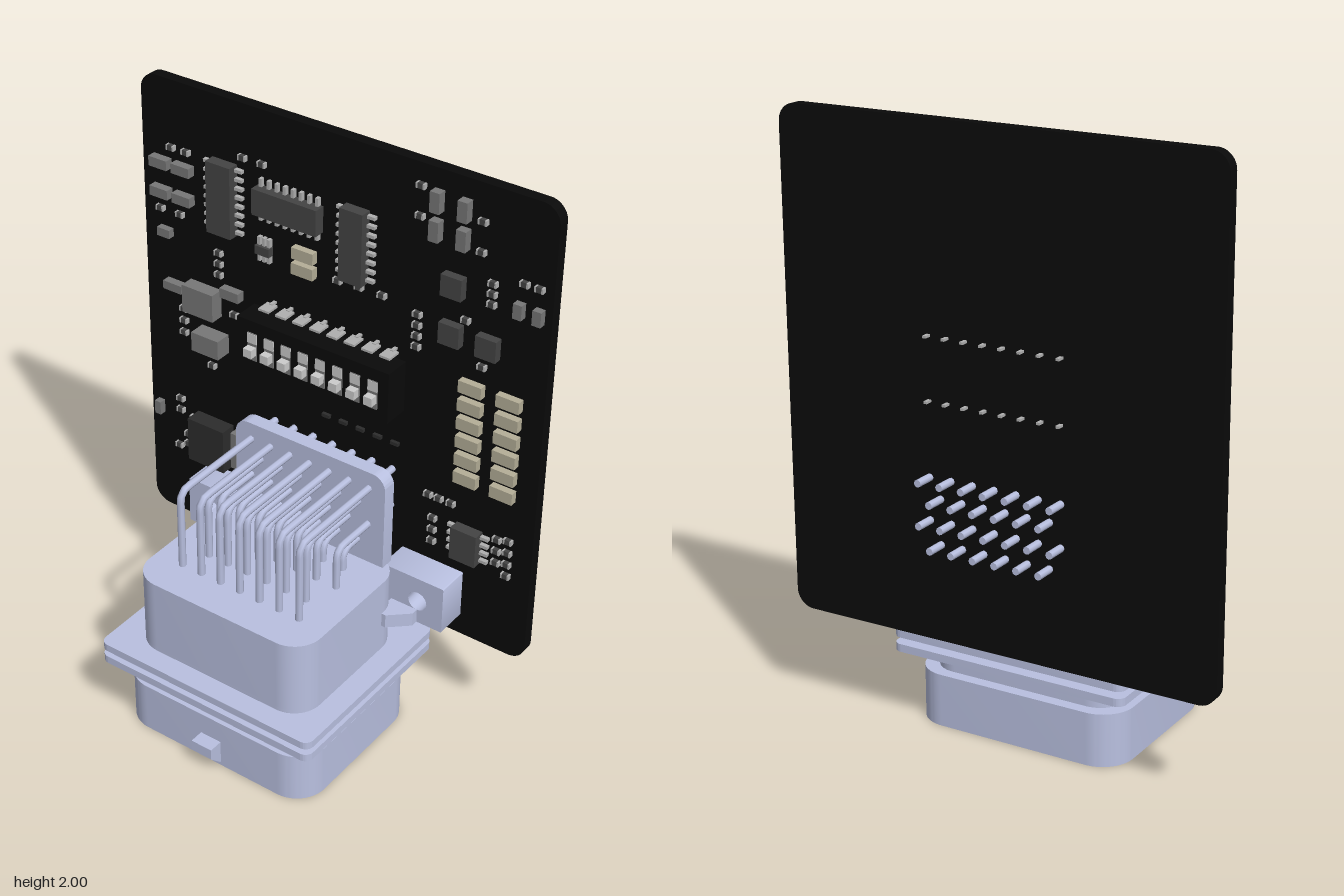
import * as THREE from 'three';
import { mergeGeometries, toCreasedNormals } from 'three/addons/utils/BufferGeometryUtils.js';

const mat = (color) => new THREE.MeshStandardMaterial({ color });
const M = {
  plastic: mat(0xb9c0e0), board: mat(0x0a0a0a), chip: mat(0x444444), dark: mat(0x2c2c2c),
  part: mat(0x777777), tan: mat(0xb5af98), metal: mat(0xb0b0b0), white: mat(0xdcdcdc),
};
const BOARD_FRONT = -0.305;

function mesh(group, name, geo, material) {
  const m = new THREE.Mesh(geo, material);
  m.name = name;
  group.add(m);
  return m;
}

function roundRect(w, h, r, C = THREE.Shape) {
  const s = new C(), x = w / 2, y = h / 2, q = Math.PI / 2;
  s.absarc(x - r, y - r, r, 0, q);
  s.absarc(-x + r, y - r, r, q, 2 * q);
  s.absarc(-x + r, -y + r, r, 2 * q, 3 * q);
  s.absarc(x - r, -y + r, r, 3 * q, 4 * q);
  s.closePath();
  return s;
}

function extrude(shape, depth) {
  const g = new THREE.ExtrudeGeometry(shape, { depth, bevelEnabled: false, curveSegments: 10 });
  return toCreasedNormals(g, 0.5);
}

// Horizontal rounded slab from y0 to y1, optionally hollowed by a rounded opening
function slab(w, d, r, y0, y1, zc, hole) {
  const s = roundRect(w, d, r);
  if (hole) s.holes.push(roundRect(hole[0], hole[1], hole[2], THREE.Path));
  return extrude(s, y1 - y0).rotateX(-Math.PI / 2).translate(0, y0, zc);
}

function box(x, y, z, w, h, d) {
  return new THREE.BoxGeometry(w, h, d).translate(x, y, z);
}

// Box standing on the board front
function chipBox(x, y, w, h, d) {
  return box(x, y, BOARD_FRONT + d / 2, w, h, d);
}

// Right-angle pin from the connector through the board
function pinGeometry(x, y, z) {
  const r = 0.0125, b = 0.04, back = -0.415, low = 0.25;
  const v = (py, pz) => new THREE.Vector3(x, py, pz);
  const path = new THREE.CurvePath();
  path.add(new THREE.LineCurve3(v(low, z), v(y - b, z)));
  path.add(new THREE.QuadraticBezierCurve3(v(y - b, z), v(y, z), v(y, z - b)));
  path.add(new THREE.LineCurve3(v(y, z - b), v(y, back)));
  return mergeGeometries([
    new THREE.TubeGeometry(path, 48, r, 8),
    new THREE.CircleGeometry(r, 8).rotateY(Math.PI).translate(x, y, back),
  ]);
}

function buildConnector() {
  const g = new THREE.Group();
  g.name = 'connector';
  const cavity = [0.6, 0.47, 0.08];
  mesh(g, 'collar', slab(0.755, 0.62, 0.11, 0, 0.18, 0.055, [0.675, 0.54, 0.09]), M.plastic);
  mesh(g, 'shellWall', slab(0.68, 0.55, 0.1, 0.17, 0.34, 0.06, cavity), M.plastic);
  mesh(g, 'shellTop', slab(0.68, 0.55, 0.1, 0.34, 0.6, 0.06), M.plastic);
  for (const y of [0.25, 0.3])
    mesh(g, 'sealFlange', slab(0.84, 0.71, 0.03, y, y + 0.027, 0.055, cavity), M.plastic);
  mesh(g, 'keyPost', new THREE.CylinderGeometry(0.025, 0.025, 0.31, 8).translate(0, 0.195, 0.06), M.plastic);

  // Latch wedge on the front of the collar
  const wedge = new THREE.Shape([[0.35, 0.1], [0.35, 0.015], [0.368, 0.015], [0.415, 0.06], [0.415, 0.1]]
    .map((p) => new THREE.Vector2(-p[0], p[1])));
  mesh(g, 'latch', extrude(wedge, 0.08).rotateY(Math.PI / 2).translate(-0.04, 0, 0), M.plastic);

  // Mounting ears with screw holes and corner gussets
  for (const s of [-1, 1]) {
    const ear = roundRect(0.235, 0.175, 0.004);
    ear.holes.push(new THREE.Path().absarc(s * 0.022, -0.003, 0.035, 0, Math.PI * 2));
    mesh(g, 'mountingEar', extrude(ear, 0.115).translate(s * 0.398, 0.5125, -0.305), M.plastic);
    const gusset = new THREE.Shape([[0.32, 0.105], [0.355, 0.105], [0.42, 0.165], [0.42, 0.2], [0.32, 0.2]]
      .map((p) => new THREE.Vector2(s * p[0], p[1])));
    mesh(g, 'gusset', extrude(gusset, 0.05).rotateX(-Math.PI / 2).translate(0, 0.425, 0), M.plastic);
  }

  // Upright pin guide with rounded top corners
  mesh(g, 'pinGuide', extrude(roundRect(0.59, 0.5, 0.05), 0.05).translate(0, 0.7, -0.22), M.plastic);

  // Staggered rows: count, height, depth
  for (const [n, y, z] of [[7, 0.89, 0.2], [6, 0.825, 0.11], [7, 0.75, 0], [6, 0.675, -0.09]])
    for (let i = 0; i < n; i++)
      mesh(g, 'pin', pinGeometry((i - (n - 1) / 2) * 0.0775, y, z), M.plastic);
  return g;
}

// Chip body with a row of leads on two opposite sides
function buildChip(x, y, w, h, d, n, leadsOnSides, material = M.chip) {
  const g = new THREE.Group();
  g.name = 'chip';
  mesh(g, 'chipBody', chipBox(0, 0, w, h, d), material);
  const leads = [], span = leadsOnSides ? h : w, out = (leadsOnSides ? w : h) / 2 + 0.013;
  for (const s of [-1, 1])
    for (let i = 0; i < n; i++) {
      const t = ((i + 0.5) / n - 0.5) * span;
      leads.push(leadsOnSides ? chipBox(s * out, t, 0.03, 0.011, 0.015) : chipBox(t, s * out, 0.011, 0.03, 0.015));
    }
  mesh(g, 'chipLeads', mergeGeometries(leads), M.metal);
  g.position.set(x, y, 0);
  return g;
}

function buildSwitchBank() {
  const g = new THREE.Group();
  g.name = 'switchBank';
  mesh(g, 'switchBody', box(-0.005, 1.24, -0.229, 0.58, 0.18, 0.092), M.board);
  for (let i = 0; i < 8; i++) {
    const x = -0.234 + i * 0.0661;
    mesh(g, 'switchSlot', box(x, 1.237, -0.182, 0.036, 0.1, 0.005), M.part);
    mesh(g, 'switchSlider', box(x, 1.225, -0.168, 0.032, 0.03, 0.03), M.white);
    mesh(g, 'switchMark', box(x, 1.268, -0.181, 0.036, 0.035, 0.006), M.white);
    for (const [y, s] of [[1.34, 1], [1.14, -1]]) {
      mesh(g, 'switchLead', box(x, y, -0.265, 0.04, 0.008, 0.05), M.metal);
      mesh(g, 'switchLeadTip', box(x, y + s * 0.003, -0.325, 0.012, 0.008, 0.09), M.metal);
    }
  }
  return g;
}

export function createModel() {
  const model = new THREE.Group();
  model.name = 'controlBoard';
  mesh(model, 'circuitBoard', extrude(roundRect(1.52, 1.65, 0.06), 0.04).translate(0, 1.175, -0.345), M.board);
  model.add(buildConnector(), buildSwitchBank());

  // Integrated circuits
  model.add(
    buildChip(-0.43, 1.66, 0.095, 0.25, 0.04, 8, true),
    buildChip(0.075, 1.66, 0.085, 0.25, 0.04, 8, true),
    buildChip(-0.175, 1.7, 0.245, 0.09, 0.04, 8, false),
    buildChip(-0.27, 1.525, 0.055, 0.03, 0.025, 3, false),
    buildChip(0.53, 0.73, 0.095, 0.12, 0.04, 4, true),
    buildChip(-0.485, 0.715, 0.15, 0.165, 0.06, 3, true, M.dark),
  );

  // Larger parts: x, y, width, height, thickness
  const blocks = [
    [-0.515, 1.26, 0.125, 0.1, 0.05], [-0.48, 1.115, 0.11, 0.07, 0.06], [-0.4, 1.32, 0.075, 0.035, 0.03],
    [-0.635, 1.27, 0.075, 0.03, 0.03], [-0.67, 1.46, 0.05, 0.03, 0.025], [-0.39, 0.715, 0.022, 0.14, 0.03],
    [-0.72, 0.76, 0.025, 0.05, 0.025], [0.655, 1.635, 0.03, 0.05, 0.025], [0.72, 1.635, 0.03, 0.05, 0.025],
  ];
  for (const x of [-0.68, -0.59]) for (const y of [1.71, 1.605]) blocks.push([x, y, 0.072, 0.034, 0.03]);
  for (const x of [0.36, 0.455]) for (const y of [1.9, 1.805]) blocks.push([x, y, 0.034, 0.068, 0.03]);
  for (const b of blocks) mesh(model, 'capacitor', chipBox(...b), M.part);
  for (const [x, y] of [[0.43, 1.64], [0.43, 1.475], [0.56, 1.475]])
    mesh(model, 'driverChip', chipBox(x, y, 0.073, 0.073, 0.03), M.chip);

  // Pale pads
  for (const x of [0.512, 0.645])
    for (let i = 0; i < 6; i++) mesh(model, 'fuse', chipBox(x, 1.31 - i * 0.067, 0.082, 0.042, 0.025), M.tan);
  for (const y of [1.56, 1.505]) mesh(model, 'fuse', chipBox(-0.115, y, 0.082, 0.04, 0.025), M.tan);

  // Small resistors: x, first y, count, step down
  const runs = [
    [-0.64, 1.77, 1], [-0.58, 1.77, 1], [-0.69, 1.54, 1], [-0.61, 1.54, 1], [-0.355, 1.82, 1], [-0.28, 1.82, 1],
    [-0.455, 1.45, 3, 0.04], [0.01, 1.51, 1], [0.09, 1.515, 1], [0.175, 1.515, 1], [0.3, 1.93, 2, 0.1],
    [0.515, 1.88, 2, 0.1], [0.56, 1.69, 3, 0.035], [0.305, 1.495, 4, 0.038], [0.475, 1.535, 1], [0.54, 1.395, 1],
    [0.665, 1.725, 1], [0.715, 1.725, 1], [-0.605, 1.19, 3, 0.045], [-0.49, 1.01, 1], [-0.395, 1.24, 1],
    [-0.63, 0.825, 2, 0.045], [-0.6, 0.69, 2, 0.04], [-0.64, 0.63, 1], [0.395, 0.77, 3, 0.045],
    [0.375, 0.855, 1], [0.415, 0.855, 1], [0.46, 0.855, 1], [0.635, 0.79, 3, 0.045], [0.675, 0.8, 4, 0.045],
  ];
  for (const [x, y, n, step = 0] of runs)
    for (let i = 0; i < n; i++) {
      const yy = y - i * step;
      mesh(model, 'resistor', chipBox(x, yy, 0.018, 0.018, 0.015), M.chip);
      for (const s of [-1, 1])
        mesh(model, 'resistorEnd', chipBox(x + s * 0.012, yy, 0.006, 0.018, 0.016), M.metal);
    }
  for (let i = 0; i < 5; i++) mesh(model, 'jumper', chipBox(-0.025 + i * 0.0665, 0.995, 0.03, 0.012, 0.012), M.dark);
  return model;
}
